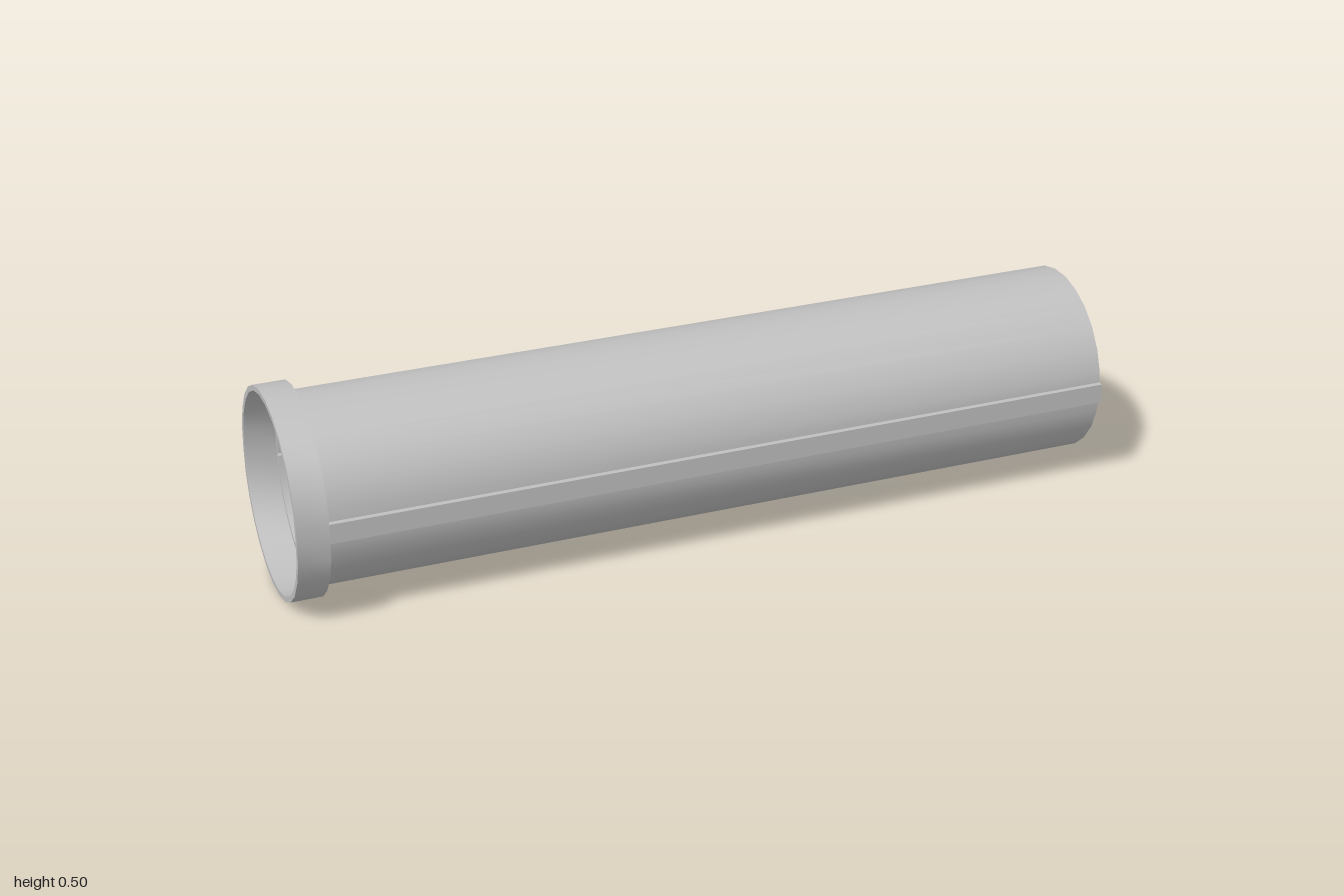
import * as THREE from 'three';
import { toCreasedNormals } from 'three/addons/utils/BufferGeometryUtils.js';

const SIDES = 26;
const CENTRE_Y = 0.248;

// Closed 26-sided cross-section as [z, y], very slightly flattened at its two side corners
function circleLoop(r) {
  return Array.from({ length: SIDES }, (_, i) => {
    const a = (i / SIDES) * Math.PI * 2;
    const k = i % (SIDES / 2) === 0 ? r * 0.987 : r;
    return [k * Math.cos(a), k * Math.sin(a)];
  });
}

// Tube cross-section: the side corners are replaced by square channels bulging outward
function channelLoop(r, out, half) {
  const wall = r * 0.984;
  return circleLoop(r).flatMap((p, i) => {
    if (i === 0) return [[wall, -half], [out, -half], [out, half], [wall, half]];
    if (i === SIDES / 2) return [[-wall, half], [-out, half], [-out, -half], [-wall, -half]];
    return [p];
  });
}

// Skins a list of [x, loop] sections along x
function loft(sections) {
  const n = sections[0][1].length;
  const pos = [], idx = [];
  for (const [x, loop] of sections) for (const [z, y] of loop) pos.push(x, y, z);
  for (let s = 0; s < sections.length - 1; s++) {
    for (let i = 0; i < n; i++) {
      const a = s * n + i, b = s * n + ((i + 1) % n);
      idx.push(a, a + n, b, b, a + n, b + n);
    }
  }
  const g = new THREE.BufferGeometry();
  g.setAttribute('position', new THREE.Float32BufferAttribute(pos, 3));
  g.setIndex(idx);
  // wind faces outward
  for (let i = 0; i < idx.length; i += 3) [idx[i + 1], idx[i + 2]] = [idx[i + 2], idx[i + 1]];
  g.setIndex(idx);
  return toCreasedNormals(g, 0.5);
}

export function createModel() {
  const model = new THREE.Group();
  model.name = 'flangedTube';
  const grey = new THREE.MeshStandardMaterial({ color: 0xc0c0c0, side: THREE.DoubleSide });
  grey.name = 'grey';

  const add = (name, sections) => {
    const mesh = new THREE.Mesh(loft(sections), grey);
    mesh.name = name;
    mesh.position.y = CENTRE_Y;
    model.add(mesh);
  };

  // Thin open tube with a channel along each side
  const tube = channelLoop(0.2255, 0.235, 0.024);
  add('tube', [[-0.925, tube], [1, tube]]);

  // End collar: bore, rim, outer wall and the step down to the tube
  add('collar', [
    [-0.925, circleLoop(0.237)],
    [-1, circleLoop(0.237)],
    [-1, circleLoop(0.25)],
    [-0.925, circleLoop(0.25)],
    [-0.925, circleLoop(0.2255)],
  ]);

  return model;
}
